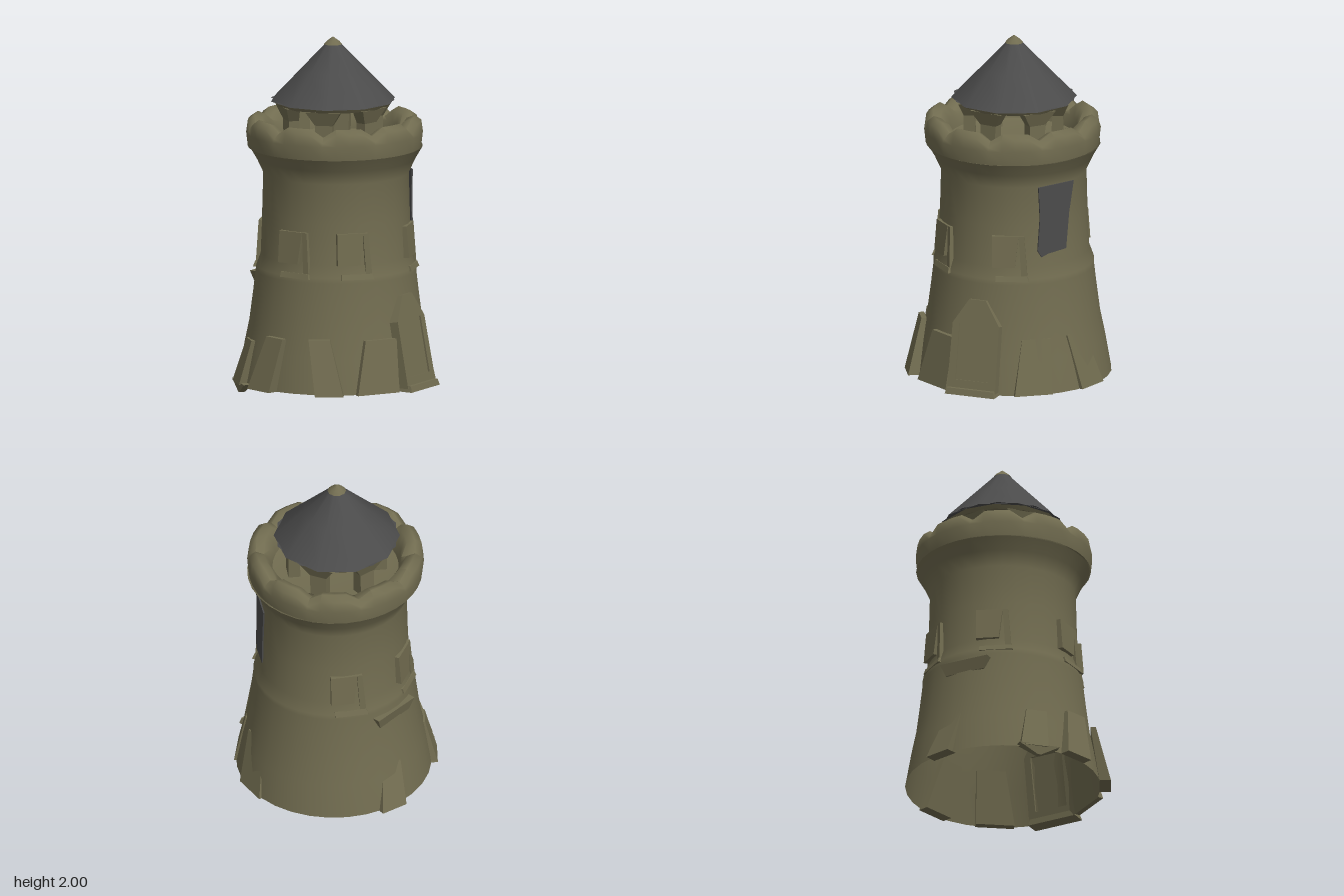
import * as THREE from 'three';
import { toCreasedNormals } from 'three/addons/utils/BufferGeometryUtils.js';

const stone = new THREE.MeshStandardMaterial({ color: 0x716c50, side: THREE.DoubleSide });
stone.name = 'olive stone';
const slate = new THREE.MeshStandardMaterial({ color: 0x4b4b4b, side: THREE.DoubleSide });
slate.name = 'dark slate';

const rad = THREE.MathUtils.degToRad;

function add(parent, name, geometry, material = stone) {
  const mesh = new THREE.Mesh(geometry, material);
  mesh.name = name;
  parent.add(mesh);
  return mesh;
}

// Group turned so that its local +z points outwards at the given azimuth
function spoke(parent, name, degrees, x = 0, z = 0) {
  const g = new THREE.Group();
  g.name = name;
  g.rotation.y = rad(degrees);
  g.position.set(x, 0, z);
  parent.add(g);
  return g;
}

function lathe(pairs, sides) {
  return new THREE.LatheGeometry(pairs.map(([r, y]) => new THREE.Vector2(r, y)), sides);
}

// Six-sided block with separate bottom and top rectangles: [xMin, xMax, zMin, zMax, y]
function block(bottom, top) {
  const g = new THREE.BoxGeometry(1, 1, 1);
  const p = g.attributes.position;
  for (let i = 0; i < p.count; i++) {
    const s = p.getY(i) > 0 ? top : bottom;
    p.setXYZ(i, p.getX(i) > 0 ? s[1] : s[0], s[4], p.getZ(i) > 0 ? s[3] : s[2]);
  }
  return toCreasedNormals(g, 0.1);
}

function polygon(points) {
  return points.map(([x, y]) => new THREE.Vector2(x, y));
}

export function createModel() {
  const model = new THREE.Group();
  model.name = 'watchtower';

  // Hollow tower wall, flared at the foot and under the parapet
  const wall = add(model, 'towerWall', lathe([
    [0.55, 0.05], [0.515, 0.25], [0.488, 0.38], [0.466, 0.55], [0.452, 0.67], [0.452, 0.7],
    [0.426, 0.77], [0.416, 1.0], [0.41, 1.23], [0.447, 1.31], [0.488, 1.38],
  ], 32));
  wall.position.set(0.015, 0, -0.018);

  // Rounded parapet with shallow notches, closed by the deck
  const rim = lathe([
    [0.488, 1.38], [0.497, 1.46], [0.488, 1.525], [0.45, 1.552], [0.405, 1.535],
    [0.37, 1.48], [0.355, 1.41], [0.3, 1.4], [0.001, 1.4],
  ], 40);
  const rp = rim.attributes.position;
  for (let i = 0; i < rp.count; i++) {
    const step = Math.round(Math.atan2(rp.getX(i), rp.getZ(i)) / (Math.PI / 20)) + 40;
    if (rp.getY(i) > 1.5 && step % 4 === 1) rp.setY(i, rp.getY(i) - 0.045);
  }
  rim.computeVertexNormals();
  add(model, 'parapet', toCreasedNormals(rim, 1.1)).position.set(0.005, 0, -0.015);

  // Posts that widen into brackets below a ring beam
  for (let i = 0; i < 6; i++) {
    const g = spoke(model, 'roofPost', 90 + i * 60, 0, -0.025);
    add(g, 'postShaft', block([-0.045, 0.045, 0.21, 0.28, 1.39], [-0.05, 0.05, 0.22, 0.28, 1.56]));
    add(g, 'postBracket', block([-0.05, 0.05, 0.22, 0.28, 1.54], [-0.1, 0.1, 0.23, 0.31, 1.62]));
  }
  const beam = add(model, 'eavesBeam', toCreasedNormals(lathe([
    [0.25, 1.64], [0.25, 1.618], [0.32, 1.618], [0.335, 1.64],
  ], 12), 0.6));
  beam.position.z = -0.028;

  // Conical slate roof with a small stone tip
  const roof = new THREE.Group();
  roof.name = 'roof';
  roof.position.set(0, 0, -0.028);
  roof.rotation.y = rad(10);
  model.add(roof);
  add(roof, 'roofCone', lathe([[0.355, 1.64], [0.19, 1.81], [0.044, 1.961]], 10), slate);
  const under = add(roof, 'roofUnderside', new THREE.CircleGeometry(0.35, 10), slate);
  under.rotation.x = Math.PI / 2;
  under.position.y = 1.644;
  add(roof, 'roofTip', lathe([[0.052, 1.957], [0.036, 1.974], [0.001, 2.0]], 10));

  // Window surrounds: leaning shutter, jamb and sill
  for (const a of [58, -5, -52, -119, -177]) {
    const g = spoke(model, 'window', a, 0.015, -0.018);
    add(g, 'windowShutter', block([-0.1, 0.03, 0.405, 0.445, 0.77], [-0.1, 0.05, 0.4, 0.43, 0.95]));
    add(g, 'windowJamb', block([0.065, 0.1, 0.405, 0.44, 0.72], [0.05, 0.08, 0.4, 0.428, 0.95]));
    add(g, 'windowSill', block([-0.08, 0.11, 0.43, 0.455, 0.69], [-0.08, 0.1, 0.41, 0.445, 0.72]));
  }

  // Broken ledge on the back, below the windows
  const ledge = spoke(model, 'backLedge', -140, 0.015, -0.018);
  add(ledge, 'ledgeBlock', block([-0.12, 0.12, 0.45, 0.46, 0.57], [-0.15, 0.15, 0.43, 0.475, 0.64]));

  // Leaning foot stones: azimuth, half width, height, foot radius, sideways lean
  const stones = [
    [-67, 0.09, 0.35, 0.58, 0.05], [-22, 0.08, 0.36, 0.585, -0.06],
    [8, 0.13, 0.35, 0.55, 0.04], [75, 0.11, 0.36, 0.565, 0.03],
    [115, 0.1, 0.36, 0.58, -0.06], [-154, 0.08, 0.3, 0.59, 0.04],
    [-96, 0.08, 0.3, 0.57, 0.03],
  ];
  for (const [a, w, h, r, lean] of stones) {
    const g = spoke(model, 'footStone', a);
    add(g, 'footStoneBlock', block([-w, w, 0.52, r, 0.05],
      [lean - w * 0.75, lean + w * 0.75, 0.47, 0.5, h]));
  }
  // Pointed stone below the right-hand foot
  const spike = spoke(model, 'footSpike', -93);
  add(spike, 'spikeBlock', block([-0.01, 0.01, 0.53, 0.56, 0], [-0.12, 0.12, 0.51, 0.565, 0.06]));

  // Door: pointed frame around a recessed panel, with a threshold
  const door = spoke(model, 'door', 39);
  const frame = new THREE.Shape(polygon([[-0.145, 0], [0.145, 0], [0.14, 0.38], [0.05, 0.52], [-0.05, 0.52], [-0.14, 0.38]]));
  frame.holes.push(new THREE.Path(polygon([[-0.1, 0.06], [-0.1, 0.38], [0.1, 0.38], [0.1, 0.06]])));
  const leaf = new THREE.Group();
  leaf.name = 'doorLeaf';
  leaf.position.set(0, 0.06, 0.525);
  leaf.rotation.x = -0.19;
  door.add(leaf);
  add(leaf, 'doorFrame', new THREE.ExtrudeGeometry(frame, { depth: 0.055, bevelEnabled: false }));
  const panel = add(leaf, 'doorPanel', new THREE.BoxGeometry(0.21, 0.34, 0.03));
  panel.position.set(0, 0.22, 0.03);
  add(door, 'threshold', block([-0.15, 0.15, 0.52, 0.605, 0.05], [-0.14, 0.14, 0.52, 0.595, 0.085]));

  // Dark cloth banner hung on the left side
  const cloth = new THREE.Shape(polygon([
    [-0.06, 1.23], [0.17, 1.24], [0.14, 1.06], [0.12, 0.85], [0.0, 0.835], [-0.04, 0.82], [-0.065, 0.86], [-0.05, 1.05],
  ]));
  const banner = add(model, 'banner', new THREE.ExtrudeGeometry(cloth, { depth: 0.008, bevelEnabled: false }), slate);
  banner.rotation.y = rad(92);
  banner.position.x = 0.435;

  return model;
}
